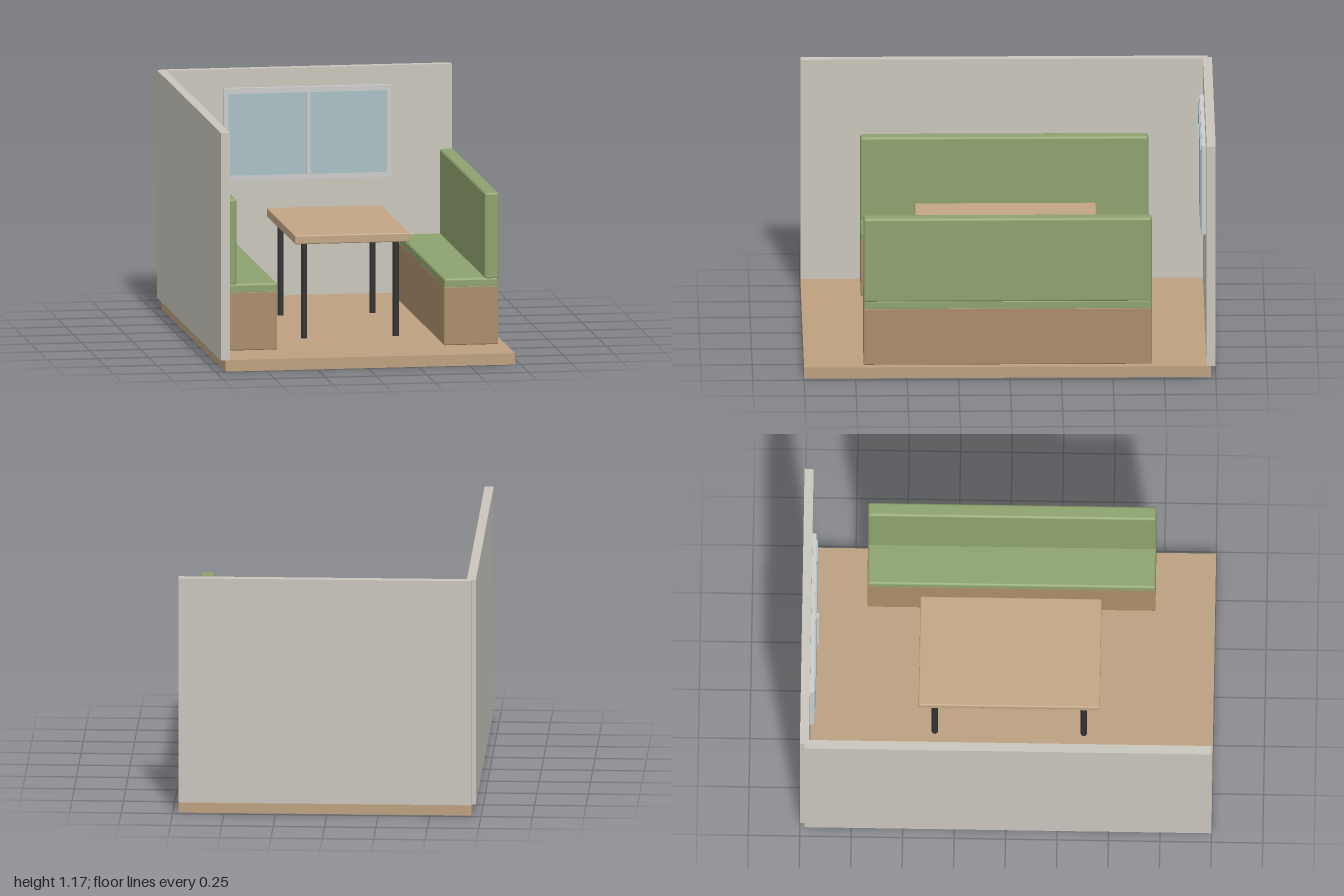
import * as THREE from 'three';
import { RoundedBoxGeometry } from 'three/addons/geometries/RoundedBoxGeometry.js';

const material = (color) => new THREE.MeshStandardMaterial({ color });

export function createModel() {
  const model = new THREE.Group();
  model.name = 'diningBooth';

  const floorMat = material(0xbca080);
  const wallMat = material(0xc9c5bc);
  const frameMat = material(0xcfd0ce);
  const glassMat = material(0xa9bfc4);
  const woodMat = material(0xab8d69);
  const cushionMat = material(0x8ea26e);
  const tableMat = material(0xc2a685);
  const legMat = material(0x333333);

  // Box given by its extents; a radius rounds the edges
  function block(parent, name, mat, [x0, x1], [y0, y1], [z0, z1], radius = 0) {
    const size = [x1 - x0, y1 - y0, z1 - z0];
    const geometry = radius
      ? new RoundedBoxGeometry(...size, 2, radius)
      : new THREE.BoxGeometry(...size);
    const mesh = new THREE.Mesh(geometry, mat);
    mesh.position.set((x0 + x1) / 2, (y0 + y1) / 2, (z0 + z1) / 2);
    mesh.name = name;
    parent.add(mesh);
  }

  // Room: floor and two walls meeting at the back corner
  block(model, 'floor', floorMat, [-0.702, 0.722], [0, 0.056], [-0.978, 1]);
  block(model, 'backWall', wallMat, [-0.702, 0.722], [0.056, 1.175], [-1, -0.956]);
  block(model, 'sideWall', wallMat, [-0.724, -0.68], [0.056, 1.175], [-0.978, 1]);

  // Window on the back wall
  const win = new THREE.Group();
  win.name = 'window';
  block(win, 'windowFrame', frameMat, [-0.402, 0.422], [0.63, 1.083], [-0.957, -0.936]);
  block(win, 'windowGlass', glassMat, [-0.38, 0.4], [0.655, 1.057], [-0.94, -0.929]);
  block(win, 'windowMullion', frameMat, [0, 0.02], [0.655, 1.057], [-0.935, -0.918]);
  model.add(win);

  // Furniture is symmetric about its own centre
  const furniture = new THREE.Group();
  furniture.name = 'furniture';
  furniture.position.set(0.01, 0, 0.01);
  model.add(furniture);

  // Two facing benches: extents are measured outward from the centre
  for (const side of [-1, 1]) {
    const bench = new THREE.Group();
    bench.name = side > 0 ? 'leftBench' : 'rightBench';
    const span = (a, b) => (side > 0 ? [a, b] : [-b, -a]);
    block(bench, 'benchBase', woodMat, span(0.41, 0.677), [0.056, 0.345], [-0.7, 0.7], 0.006);
    block(bench, 'seatCushion', cushionMat, span(0.41, 0.677), [0.333, 0.385], [-0.7, 0.7], 0.012);
    block(bench, 'backCushion', cushionMat, span(0.61, 0.68), [0.376, 0.802], [-0.7, 0.7], 0.012);
    furniture.add(bench);
  }

  // Table with four round legs
  const table = new THREE.Group();
  table.name = 'table';
  block(table, 'tableTop', tableMat, [-0.282, 0.282], [0.529, 0.573], [-0.44, 0.44], 0.006);
  const legGeometry = new THREE.CylinderGeometry(0.0155, 0.0155, 0.475, 12);
  for (const x of [-0.226, 0.226]) {
    for (const z of [-0.362, 0.362]) {
      const leg = new THREE.Mesh(legGeometry, legMat);
      leg.name = 'tableLeg';
      leg.position.set(x, 0.2935, z);
      table.add(leg);
    }
  }
  furniture.add(table);

  return model;
}
